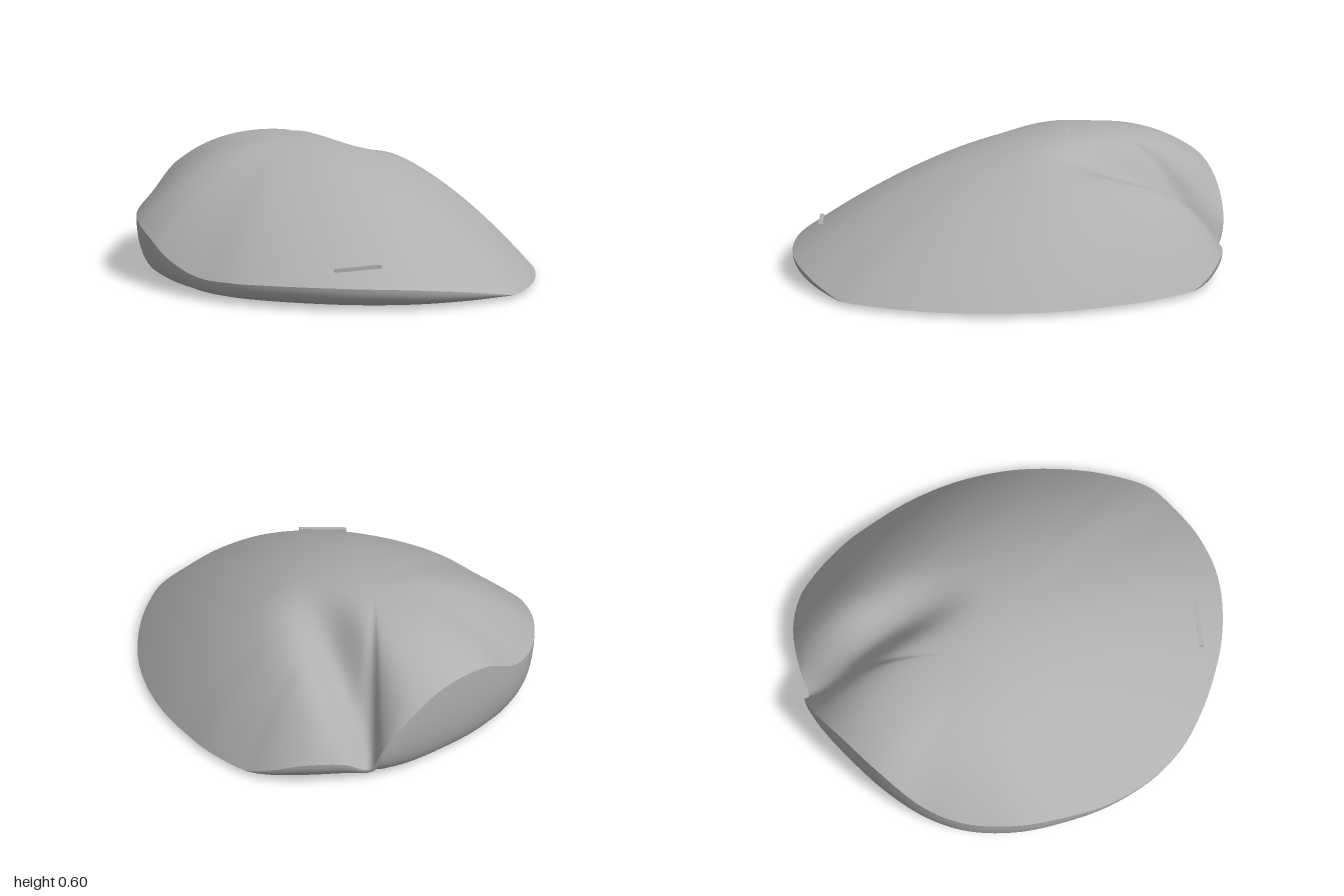
import * as THREE from 'three';

const BASE = 0.02;
const CENTRE = new THREE.Vector2(0.05, -0.35);
const SEG = 180;

// Rim of the shell: x, rim height, z
const RIM = [
  [0.05, 0.42, -1.0], [0.3, 0.42, -0.96], [0.47, 0.33, -0.91], [0.595, 0.18, -0.835],
  [0.62, 0.05, -0.765], [0.72, 0.1, -0.7], [0.85, 0.11, -0.57], [0.93, 0.06, -0.41],
  [0.95, 0.02, -0.28], [0.925, 0.02, -0.05], [0.88, 0.02, 0.1], [0.8, 0.02, 0.3],
  [0.68, 0.02, 0.5], [0.5, 0.02, 0.7], [0.28, 0.02, 0.86], [0.1, 0.02, 0.95],
  [-0.07, 0.02, 1.0], [-0.2, 0.04, 0.98], [-0.4, 0.075, 0.92], [-0.6, 0.1, 0.8],
  [-0.77, 0.11, 0.6], [-0.88, 0.11, 0.37], [-0.94, 0.105, 0.15], [-0.955, 0.1, 0],
  [-0.93, 0.1, -0.2], [-0.85, 0.15, -0.43], [-0.75, 0.21, -0.6], [-0.6, 0.25, -0.78],
  [-0.4, 0.26, -0.92], [-0.2, 0.3, -0.985],
];

// Surface joining rings of SEG points each
function loft(rings, material, name) {
  const positions = [], index = [];
  for (const ring of rings) for (const p of ring) positions.push(p.x, p.y, p.z);
  for (let r = 0; r < rings.length - 1; r++) {
    for (let i = 0; i < SEG; i++) {
      const j = (i + 1) % SEG;
      const a = r * SEG + i, b = r * SEG + j, c = a + SEG, d = b + SEG;
      index.push(a, c, b, b, c, d);
    }
  }
  const geometry = new THREE.BufferGeometry();
  geometry.setAttribute('position', new THREE.Float32BufferAttribute(positions, 3));
  geometry.setIndex(index);
  geometry.computeVertexNormals();
  const mesh = new THREE.Mesh(geometry, material);
  mesh.name = name;
  return mesh;
}

// Depth of the crease that runs inward from the notch between the two lobes
function crease(x, z) {
  const ax = 0.62, az = -0.77, dx = -0.36, dz = 0.65;
  const len = Math.hypot(dx, dz);
  const s = ((x - ax) * dx + (z - az) * dz) / (len * len);
  const d = ((x - ax) * dz - (z - az) * dx) / len;
  if (s > 1.25) return 0;
  const along = s < 0.35 ? 1 : Math.cos(((s - 0.35) / 0.9) * Math.PI / 2) ** 2;
  const width = d < 0 ? 0.1 : 0.14;
  return 0.17 * along * Math.exp(-((d / width) ** 2));
}

// Domed top: each ray falls from the summit to the rim
function topPoint(rim, t) {
  const dx = rim.x - CENTRE.x, dz = rim.z - CENTRE.y;
  const len = Math.hypot(dx, dz);
  const power = 2.35 + 0.43 * dx / len - 0.42 * dz / len;
  const x = CENTRE.x + dx * t, z = CENTRE.y + dz * t;
  const y = rim.y + (0.6 - rim.y) * (1 - t ** power);
  return new THREE.Vector3(x, Math.max(BASE, y - crease(x, z) * (1 - t ** 8)), z);
}

// Rounded undercut between the rim and the flat base
function underPoint(rim, a) {
  const rise = rim.y - BASE;
  const inset = 0.095 * Math.min(1, rise / 0.1) * (1 - Math.cos(a));
  const len = Math.hypot(rim.x, rim.z);
  return new THREE.Vector3(
    rim.x * (1 - inset / len), BASE + rise * (1 - Math.sin(a)), rim.z * (1 - inset / len));
}

// Thin square bar between two points
function bar(from, to, material, name) {
  const a = new THREE.Vector3(...from), b = new THREE.Vector3(...to);
  const mesh = new THREE.Mesh(new THREE.BoxGeometry(0.02, 0.018, a.distanceTo(b)), material);
  mesh.position.copy(a).lerp(b, 0.5);
  mesh.lookAt(b);
  mesh.name = name;
  return mesh;
}

export function createModel() {
  const group = new THREE.Group();
  group.name = 'twoLobedShell';
  const grey = new THREE.MeshStandardMaterial({ color: 0xb0b0b0 });
  grey.name = 'grey';

  const curve = new THREE.CatmullRomCurve3(
    RIM.map((p) => new THREE.Vector3(...p)), true, 'centripetal');
  const rim = curve.getPoints(SEG).slice(0, SEG);
  for (const p of rim) p.y = Math.max(BASE, p.y);

  // Shell top, from the summit outwards
  const steps = 40;
  const top = [];
  for (let k = 0; k <= steps; k++) {
    const t = Math.max(0.002, Math.sin((k / steps) * Math.PI / 2));
    top.push(rim.map((p) => topPoint(p, t)));
  }
  group.add(loft(top.reverse(), grey, 'shellTop'));

  // Undercut wall, from the base up to the rim
  const wall = [];
  for (let k = 0; k <= 8; k++) wall.push(rim.map((p) => underPoint(p, (k / 8) * Math.PI / 2)));
  wall.reverse();
  group.add(loft(wall, grey, 'undercutWall'));

  // Flat base
  const middle = rim.map(() => new THREE.Vector3(0, BASE, 0));
  group.add(loft([middle, wall[0]], grey, 'flatBase'));

  // Short bar lying on the top slope
  group.add(bar([-0.755, 0.18, 0.455], [-0.605, 0.195, 0.615], grey, 'topBar'));

  // Thin bars under the base
  const y = 0.01;
  const underBars = [
    [[0.4, y, 0.2], [-0.38, y, -0.71]],
    [[-0.38, y, -0.71], [-0.46, y, -0.69]],
    [[0.45, y, -0.63], [-0.14, y, -0.75]],
    [[-0.02, y, -0.82], [-0.14, y, -0.75]],
    [[-0.56, y, -0.55], [-0.65, y, -0.46]],
  ];
  for (const [a, b] of underBars) group.add(bar(a, b, grey, 'underBar'));

  return group;
}
